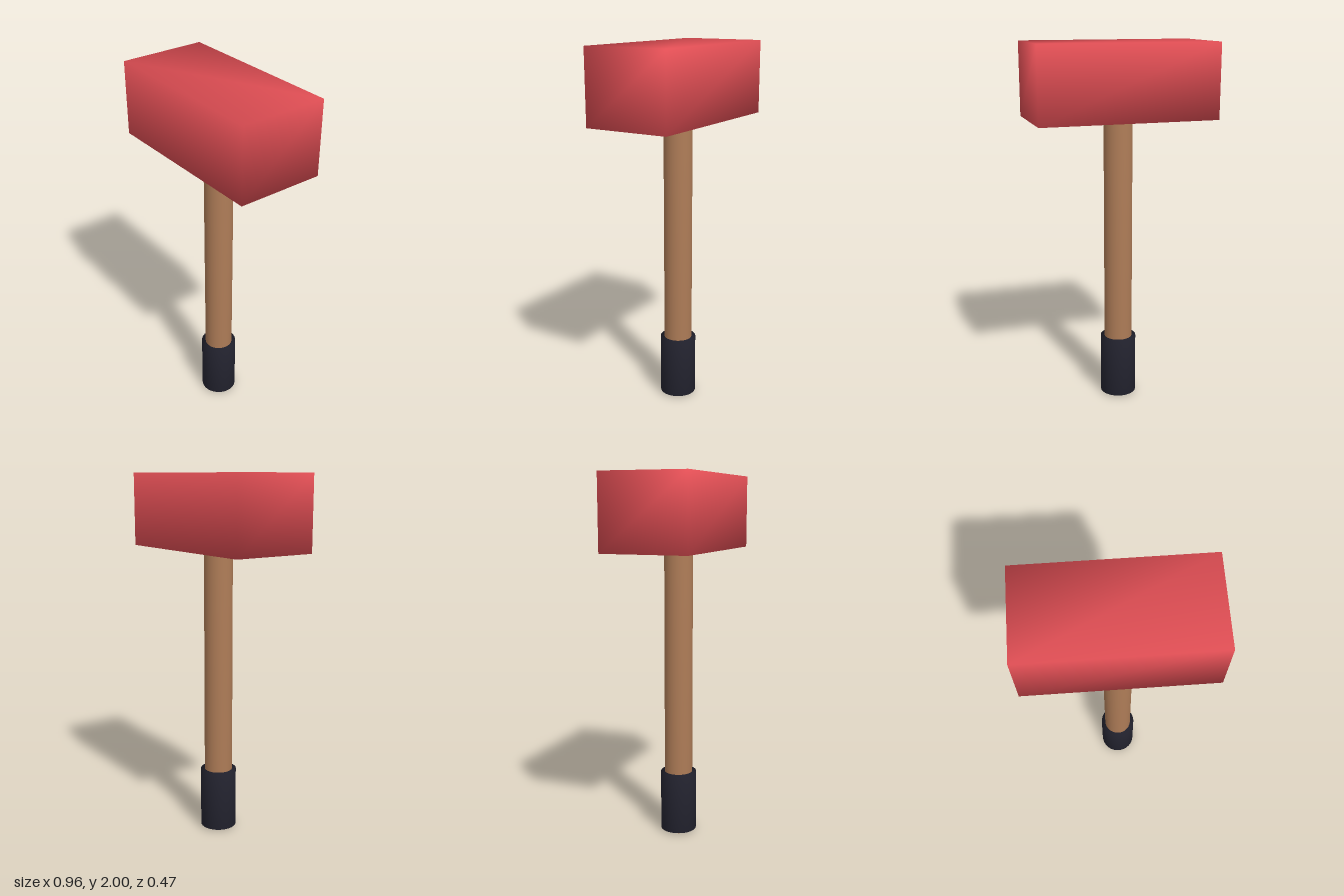
import * as THREE from 'three';
import { mergeVertices } from 'three/addons/utils/BufferGeometryUtils.js';

const material = (name, color) => {
  const m = new THREE.MeshStandardMaterial({ color });
  m.name = name;
  return m;
};

// Share corners between faces so shading runs smoothly across every edge
function smooth(geometry) {
  geometry.deleteAttribute('normal');
  geometry.deleteAttribute('uv');
  const merged = mergeVertices(geometry, 1e-4);
  merged.computeVertexNormals();
  return merged;
}

export function createModel() {
  const group = new THREE.Group();
  group.name = 'mallet';

  const add = (name, geometry, mat, bottom, top) => {
    const mesh = new THREE.Mesh(smooth(geometry), mat);
    mesh.name = name;
    mesh.position.y = (bottom + top) / 2;
    group.add(mesh);
  };
  const rod = (radius, bottom, top) =>
    new THREE.CylinderGeometry(radius, radius, top - bottom, 32);

  // Block head, hovering just above the handle
  add('head', new THREE.BoxGeometry(0.965, 0.4, 0.474), material('red', 0xe04e54), 1.6, 2);

  // Wooden handle, reaching slightly below the grip
  add('handle', rod(0.078, 0, 1.575), material('wood', 0xae7c57), 0, 1.575);

  // Dark sleeve around the lower handle
  add('grip', rod(0.1, 0.01, 0.35), material('darkRubber', 0x23232f), 0.01, 0.35);

  return group;
}
